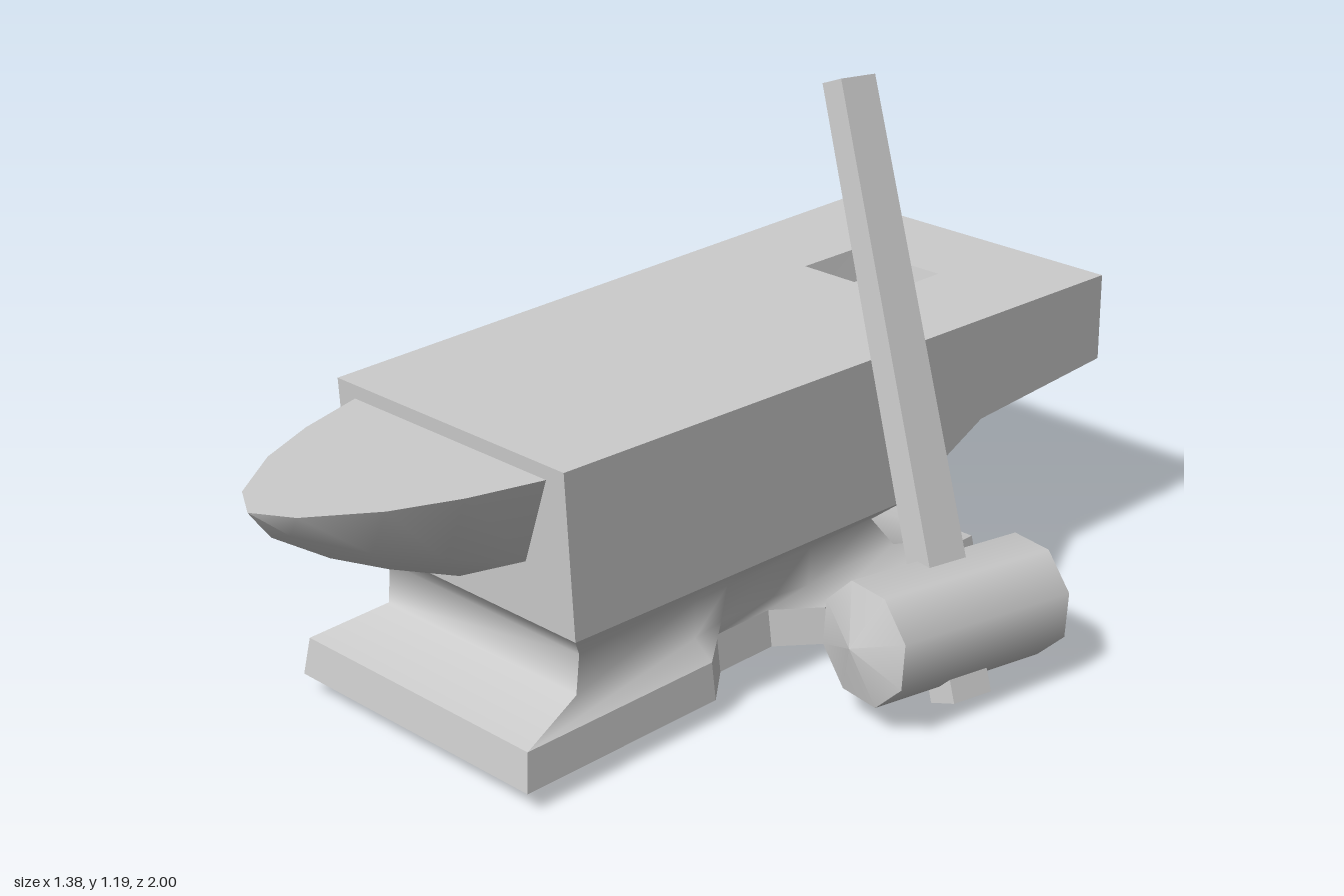
import * as THREE from 'three';
import { mergeGeometries } from 'three/addons/utils/BufferGeometryUtils.js';

const grey = new THREE.MeshStandardMaterial({ color: 0xcccccc, side: THREE.DoubleSide });

function addMesh(parent, name, geometry) {
  const mesh = new THREE.Mesh(geometry, grey);
  mesh.name = name;
  parent.add(mesh);
  return mesh;
}

// Surface through rows of points; rows run downward, columns rightward, seen from outside
function sheet(rows, flat = false) {
  const cols = rows[0].length, index = [];
  for (let i = 0; i < rows.length - 1; i++) {
    for (let j = 0; j < cols - 1; j++) {
      const a = i * cols + j, b = a + 1, c = a + cols, d = c + 1;
      index.push(a, c, b, b, c, d);
    }
  }
  let geo = new THREE.BufferGeometry();
  geo.setAttribute('position', new THREE.Float32BufferAttribute(rows.flat(2), 3));
  geo.setIndex(index);
  geo = flat ? geo.toNonIndexed() : geo;
  geo.computeVertexNormals();
  return flat ? geo : geo.toNonIndexed();
}

const lerp = THREE.MathUtils.lerp;
const blockWidth = z => 0.325 + (0.648 - z) * 0.0326;
const topHeight = z => 0.648 + 0.012 * (z + 0.884) / 1.532;

// Points along one long side, front to back, with a notch in the middle
function sidePoints({ y, wF, wB, zF, zB, inset }, s) {
  const stops = [[zF, 0], [0.27, 0], [0.18, 1], [0.03, 1], [-0.06, 0], [zB, 0]];
  return stops.map(([z, k]) => [s * (lerp(wF, wB, (zF - z) / (zF - zB)) - k * inset), y, z]);
}

// Four walls through a stack of levels; extra rows may lead into the back wall
function walls(levels, flat, backLead = []) {
  const front = levels.map(l => [[-l.wF, l.y, l.zF], [l.wF, l.y, l.zF]]);
  const back = backLead.concat(levels.map(l => [[l.wB, l.y, l.zB], [-l.wB, l.y, l.zB]]));
  return mergeGeometries([
    sheet(front, flat), sheet(back, flat),
    sheet(levels.map(l => sidePoints(l, 1)), flat),
    sheet(levels.map(l => sidePoints(l, -1).reverse()), flat),
  ]);
}

const level = (y, wF, wB, zF, zB, inset) => ({ y, wF, wB, zF, zB, inset });

function makeAnvil() {
  const anvil = new THREE.Group();
  anvil.name = 'anvil';

  // Foot plate with notched long sides
  const footTop = level(0.13, 0.325, 0.325, 0.755, -0.53, 0.075);
  const footBottom = level(0.05, 0.335, 0.335, 0.767, -0.54, 0.075);
  addMesh(anvil, 'foot', walls([footTop, footBottom], true));
  const outline = [...sidePoints(footBottom, 1), ...sidePoints(footBottom, -1).reverse()];
  const sole = new THREE.ShapeGeometry(new THREE.Shape(outline.map(p => new THREE.Vector2(p[0], p[2]))));
  sole.rotateX(Math.PI / 2).translate(0, 0.05, 0);
  addMesh(anvil, 'sole', sole);

  // Waist, flaring into the foot, with the underside of the heel running into its back
  const heel = [[-0.884, 0.455], [-0.5, 0.425]];
  const heelRows = heel.map(([z, y]) => [[blockWidth(z), y, z], [-blockWidth(z), y, z]]);
  addMesh(anvil, 'waist', walls([
    level(0.31, blockWidth(0.63), blockWidth(-0.27), 0.63, -0.27, 0),
    level(0.25, 0.28, 0.28, 0.58, -0.25, 0),
    level(0.165, 0.278, 0.278, 0.588, -0.325, 0.015),
    footTop,
  ], false, heelRows));

  // Body block: sides, front and back
  const stations = [[0.648, 0.63, 0.31], [-0.27, -0.27, 0.31], [-0.5, -0.5, 0.425], [-0.884, -0.884, 0.455]];
  const side = s => [
    stations.map(([z]) => [s * blockWidth(z), topHeight(z), z]),
    stations.map(([, z, y]) => [s * blockWidth(z), y, z]),
  ];
  const [rTop, rBot] = side(1), [lTop, lBot] = side(-1);
  addMesh(anvil, 'body', mergeGeometries([
    sheet([rTop, rBot], true),
    sheet([[...lTop].reverse(), [...lBot].reverse()], true),
    sheet([[lTop[0], rTop[0]], [lBot[0], rBot[0]]], true),
    sheet([[rTop[3], lTop[3]], [rBot[3], lBot[3]]], true),
  ]));

  // Gently sloping face with a square hole
  const hole = [[-0.118, -0.64], [0.118, -0.64], [0.118, -0.473], [-0.118, -0.473]];
  const toVec = ([x, z]) => new THREE.Vector2(x, -z);
  const shape = new THREE.Shape([lTop[0], rTop[0], rTop[3], lTop[3]].map(p => toVec([p[0], p[2]])));
  shape.holes.push(new THREE.Path(hole.map(toVec)));
  const face = new THREE.ShapeGeometry(shape).rotateX(-Math.PI / 2);
  const pos = face.attributes.position;
  for (let i = 0; i < pos.count; i++) pos.setY(i, topHeight(pos.getZ(i)));
  face.computeVertexNormals();
  addMesh(anvil, 'face', face);

  // Tapered pocket below the hole
  const rim = [...hole, hole[0]].map(([x, z]) => [x, topHeight(z), z]);
  const floor = rim.map(([x, , z]) => [x * 0.87, 0.58, -0.5565 + (z + 0.5565) * 0.83]);
  addMesh(anvil, 'hardyHole', mergeGeometries([
    sheet([rim, floor], true),
    sheet([[floor[0], floor[1]], [floor[3], floor[2]]], true),
  ]));

  // Horn: flat on top, rounded below; stations are z, half width, depth
  const horn = [[0.63, 0.28, 0.295], [0.8, 0.231, 0.22], [0.934, 0.172, 0.15], [1.06, 0.08, 0.065], [1.107, 0, 0]];
  const section = [[1, 0], [0.72, 0.66], [0, 1], [-0.72, 0.66], [-1, 0]];
  addMesh(anvil, 'horn', mergeGeometries([
    sheet(horn.map(([z, w]) => [[-w, 0.63, z], [w, 0.63, z]]), true),
    sheet(horn.map(([z, w, d]) => section.map(([a, b]) => [a * w, 0.63 - b * d, z]))),
  ]));
  return anvil;
}

function makeHammer() {
  const hammer = new THREE.Group();
  hammer.name = 'hammer';

  // Eight-sided head along local z, with shallow domed ends
  const r = 0.127, length = 0.439, dome = 0.037;
  const cap = new THREE.ConeGeometry(r, dome, 8, 1, true).translate(0, length / 2 + dome / 2, 0);
  const head = mergeGeometries([
    new THREE.CylinderGeometry(r, r, length, 8, 1, true),
    cap,
    cap.clone().rotateX(Math.PI),
  ]);
  addMesh(hammer, 'hammerHead', head.rotateX(Math.PI / 2));

  // Handle, slimmer toward the top
  const handle = new THREE.BoxGeometry(0.07, 1.25, 0.1).translate(0, 0.464, 0);
  const pos = handle.attributes.position;
  for (let i = 0; i < pos.count; i++) {
    if (pos.getY(i) > 0) {
      pos.setX(i, pos.getX(i) * 0.84);
      pos.setZ(i, pos.getZ(i) * 0.88);
    }
  }
  handle.computeVertexNormals();
  addMesh(hammer, 'handle', handle);
  return hammer;
}

export function createModel() {
  const model = new THREE.Group();
  model.name = 'anvilAndHammer';

  const anvil = makeAnvil();
  anvil.position.set(-0.121, 0, -0.043);
  anvil.rotation.y = -0.34;
  model.add(anvil);

  // Hammer leaning against the anvil
  const hammer = makeHammer();
  const up = new THREE.Vector3(-0.325, 1.0125, -0.235).normalize();
  const right = new THREE.Vector3().crossVectors(up, new THREE.Vector3(-0.457, 0.057, 0.89)).normalize();
  const forward = new THREE.Vector3().crossVectors(right, up);
  hammer.quaternion.setFromRotationMatrix(new THREE.Matrix4().makeBasis(right, up, forward));
  hammer.position.set(0.476, 0.1725, 0.029);
  model.add(hammer);
  return model;
}
